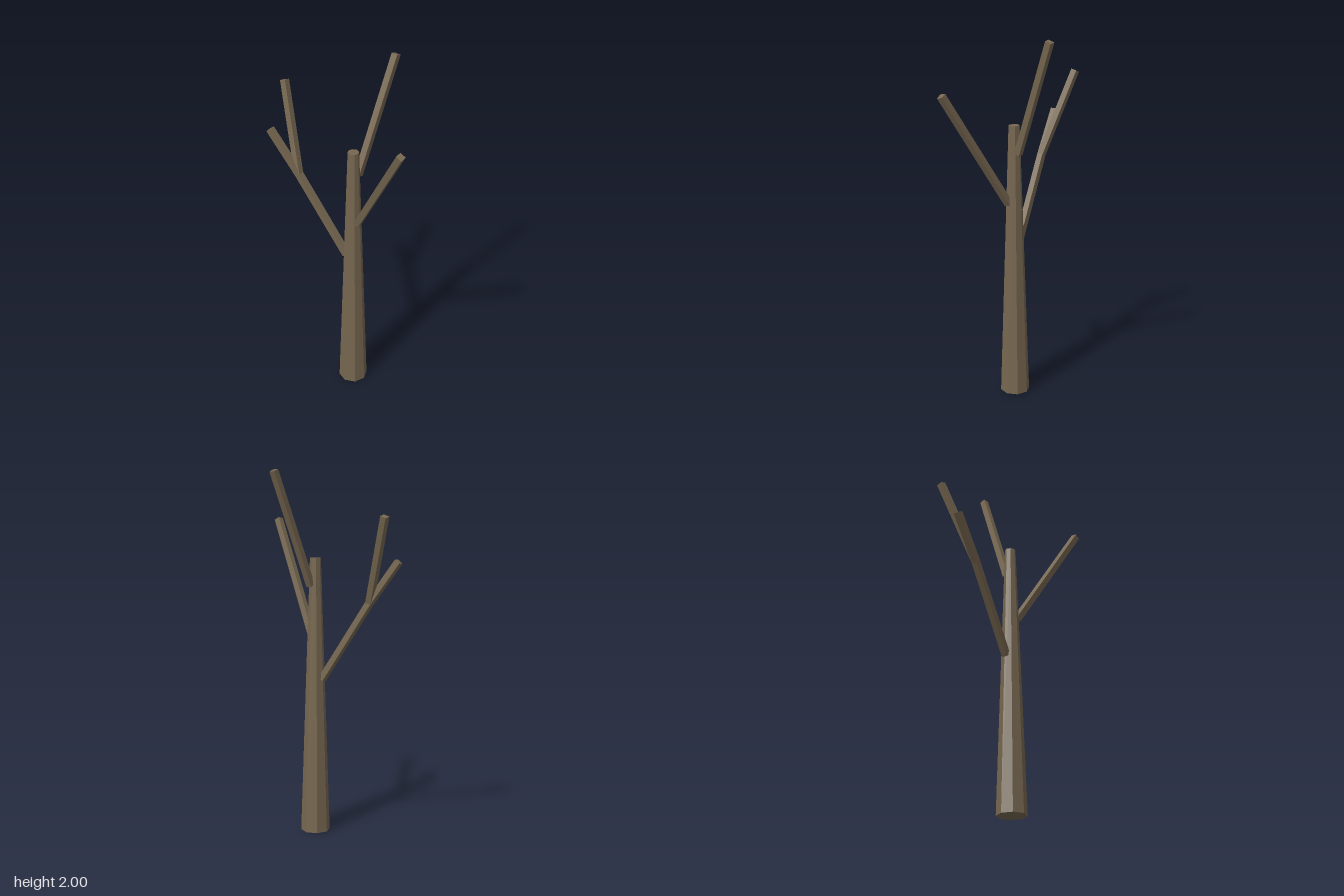
import * as THREE from 'three';

const bark = new THREE.MeshStandardMaterial({ color: 0x766750, flatShading: true });
const UP = new THREE.Vector3(0, 1, 0);

// Square branch running between two points
function branch(name, from, to, thickness = 0.034) {
  const a = new THREE.Vector3(...from);
  const b = new THREE.Vector3(...to);
  const dir = b.clone().sub(a);
  const mesh = new THREE.Mesh(new THREE.BoxGeometry(thickness, dir.length(), thickness), bark);
  mesh.name = name;
  mesh.position.copy(a).add(b).multiplyScalar(0.5);
  mesh.quaternion.setFromUnitVectors(UP, dir.normalize());
  return mesh;
}

export function createModel() {
  const tree = new THREE.Group();
  tree.name = 'bareTree';

  // Tapered eight-sided trunk
  const height = 1.53;
  const trunk = new THREE.Mesh(new THREE.CylinderGeometry(0.03, 0.081, height, 8), bark);
  trunk.name = 'trunk';
  trunk.position.set(0.048, height / 2, 0.048);
  tree.add(trunk);

  // Branches: the right one forks into two twigs
  const fork = [-0.28, 1.3, 0.093];
  tree.add(
    branch('rightBranch', [0.005, 0.865, 0.052], fork),
    branch('rightLowerTwig', fork, [-0.448, 1.527, 0.115]),
    branch('rightUpperTwig', fork, [-0.448, 1.762, -0.018]),
    branch('leftBranch', [0.083, 1.105, 0.062], [0.445, 1.728, 0.213]),
    branch('backBranch', [0.056, 1.38, 0.016], [0.115, 1.994, -0.217])
  );
  return tree;
}
